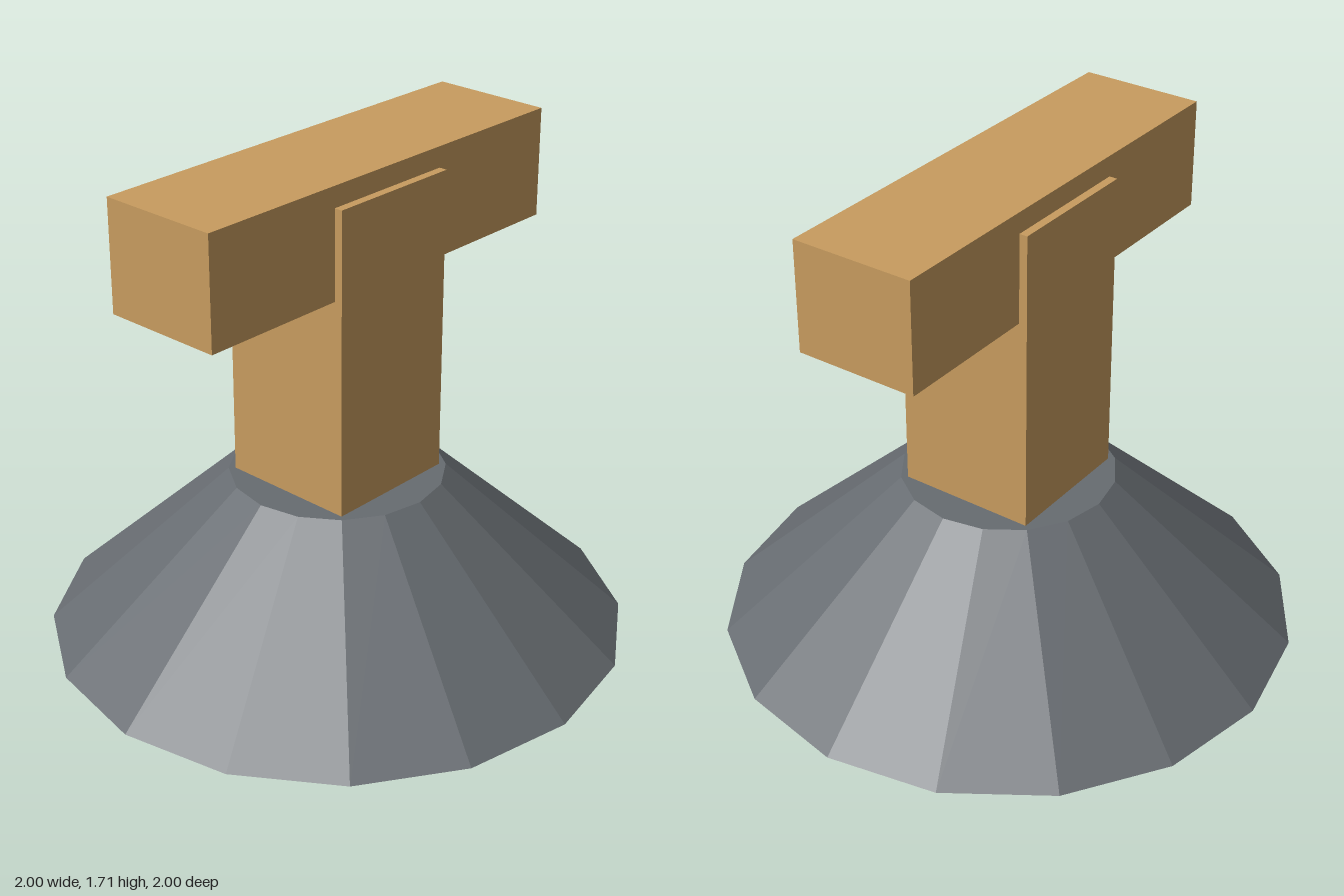
import * as THREE from 'three';

export function createModel() {
  const model = new THREE.Group();
  const stone = new THREE.MeshStandardMaterial({ color: 0x676c71, flatShading: true });
  stone.name = 'slate grey';
  const wood = new THREE.MeshStandardMaterial({ color: 0xc89c5f, flatShading: true });
  wood.name = 'light wood';

  const add = (name, geometry, material, y) => {
    const mesh = new THREE.Mesh(geometry, material);
    mesh.name = name;
    mesh.position.y = y;
    model.add(mesh);
  };

  // Sixteen-sided tapered base
  add('base', new THREE.CylinderGeometry(0.37, 1, 0.58, 16), stone, 0.29);
  // Square post standing on the base
  add('post', new THREE.BoxGeometry(0.49, 1.06, 0.49), wood, 1.11);
  // Crossbar through the top of the post
  add('crossbar', new THREE.BoxGeometry(1.54, 0.38, 0.432), wood, 1.522);

  return model;
}
